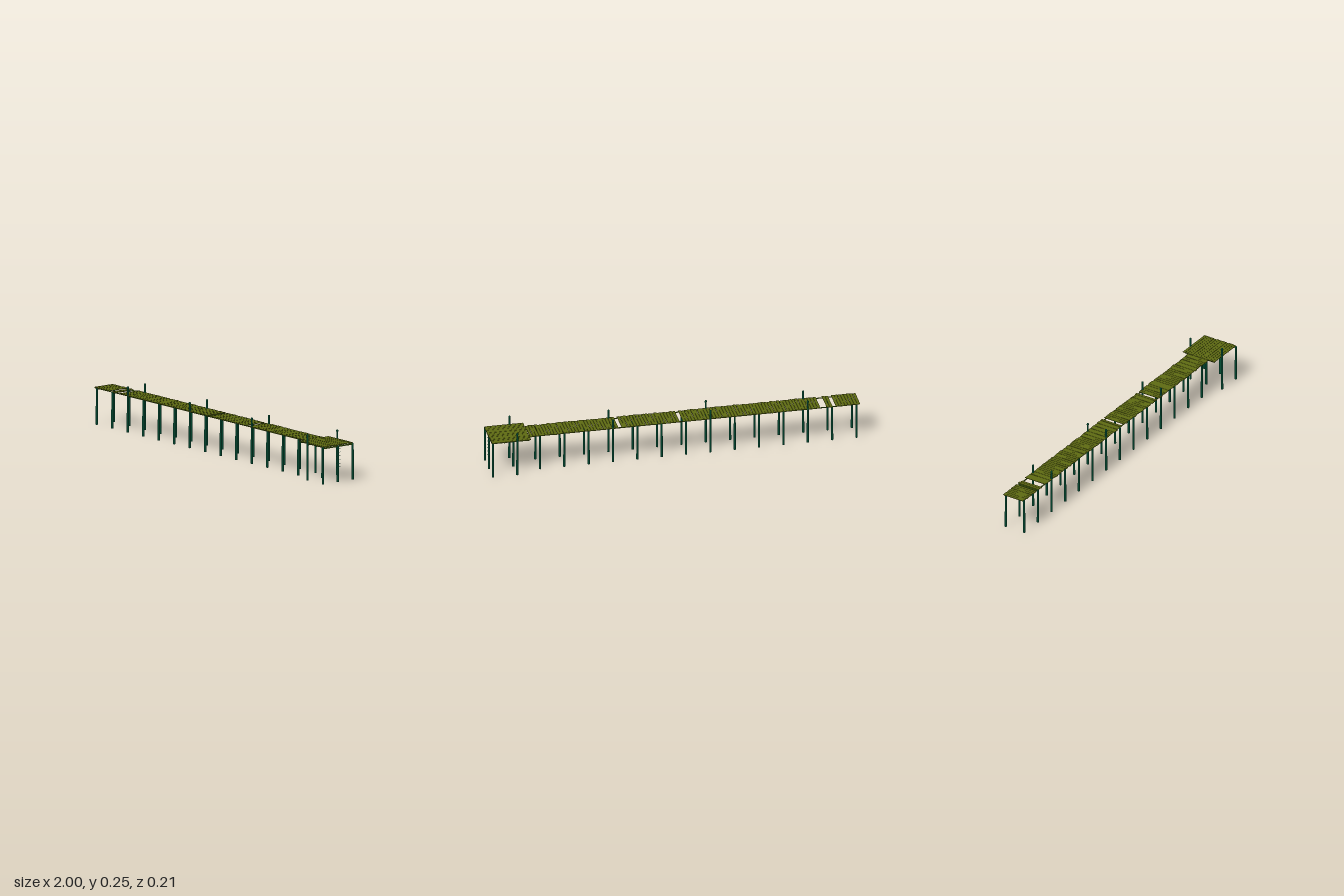
import * as THREE from 'three';

const mat = (color) => new THREE.MeshStandardMaterial({ color, flatShading: true });

export function createModel() {
  const pier = new THREE.Group();
  pier.name = 'pier';
  const postMat = mat(0x0b7a55);
  const plankMat = mat(0x5f6b12);
  const beamMat = mat(0x4a6a10);

  // Small seeded generator for the uneven planks
  let seed = 7;
  const rand = () => {
    seed = (seed * 16807) % 2147483647;
    return seed / 2147483647 - 0.5;
  };

  const box = (name, material, w, h, d, x, y, z) => {
    const m = new THREE.Mesh(new THREE.BoxGeometry(w, h, d), material);
    m.name = name;
    m.position.set(x, y, z);
    pier.add(m);
    return m;
  };

  // Tapered piles; the tall ones end in a grooved mooring head
  const lathe = (pts) =>
    new THREE.LatheGeometry(pts.map(([r, y]) => new THREE.Vector2(r, y)), 8);
  const shortPile = lathe([[0, 0], [0.0062, 0], [0.0052, 0.196], [0, 0.196]]);
  const tallPile = lathe([
    [0, 0], [0.0062, 0], [0.005, 0.235], [0.0058, 0.237],
    [0.0058, 0.243], [0.0048, 0.247], [0, 0.247],
  ]);
  const pile = (x, z, tall) => {
    const m = new THREE.Mesh(tall ? tallPile : shortPile, postMat);
    m.name = tall ? 'mooringPile' : 'pile';
    m.position.set(x, 0, z);
    pier.add(m);
  };

  // Rows of piles with a cross beam on each; the last two carry the platform
  for (let i = 0; i < 16; i++) {
    const x = -0.98 + i * 0.1313;
    const wide = i >= 14;
    const z = wide ? 0.1 : 0.058;
    const tall = i % 4 === 2;
    pile(x, z, tall);
    pile(x, -z, tall);
    if (wide) pile(x, 0, false);
    box('crossBeam', beamMat, 0.005, 0.007, z * 2, x, 0.1915, 0);
  }

  // Stringers under the walkway and the platform
  for (const s of [-1, 1]) {
    box('walkwayStringer', beamMat, 1.79, 0.004, 0.005, -0.1, 0.195, s * 0.055);
    box('platformStringer', beamMat, 0.2, 0.004, 0.005, 0.89, 0.195, s * 0.092);
  }
  for (const x of [0.795, 0.925]) {
    box('platformJoist', beamMat, 0.005, 0.006, 0.19, x, 0.193, 0);
  }

  // Walkway planks, with a few missing
  const missing = [[-0.862, -0.846], [-0.818, -0.793], [-0.042, -0.022], [0.29, 0.301]];
  const pitch = 0.0165;
  for (let i = 0; i < 108; i++) {
    const x = -0.9915 + i * pitch;
    if (missing.some(([a, b]) => x > a && x < b)) continue;
    const p = box('walkwayPlank', plankMat, 0.0152, 0.0025, 0.127 + rand() * 0.006,
      x, 0.1985 + rand() * 0.001, rand() * 0.005);
    p.rotation.y = rand() * 0.02;
  }

  // Platform planks run along the pier
  for (let i = 0; i < 13; i++) {
    box('platformPlank', plankMat, 0.21 + rand() * 0.004, 0.0025, 0.0142,
      0.889 + rand() * 0.003, 0.199 + rand() * 0.001, -0.0925 + i * 0.01542);
  }

  // Ladder rungs on the middle end pile
  const rungGeo = new THREE.CylinderGeometry(0.0011, 0.0011, 0.028, 6);
  for (let i = 0; i < 6; i++) {
    const rung = new THREE.Mesh(rungGeo, postMat);
    rung.name = 'ladderRung';
    rung.rotation.x = Math.PI / 2;
    rung.position.set(0.994, 0.08 + i * 0.02, 0);
    pier.add(rung);
  }

  return pier;
}
